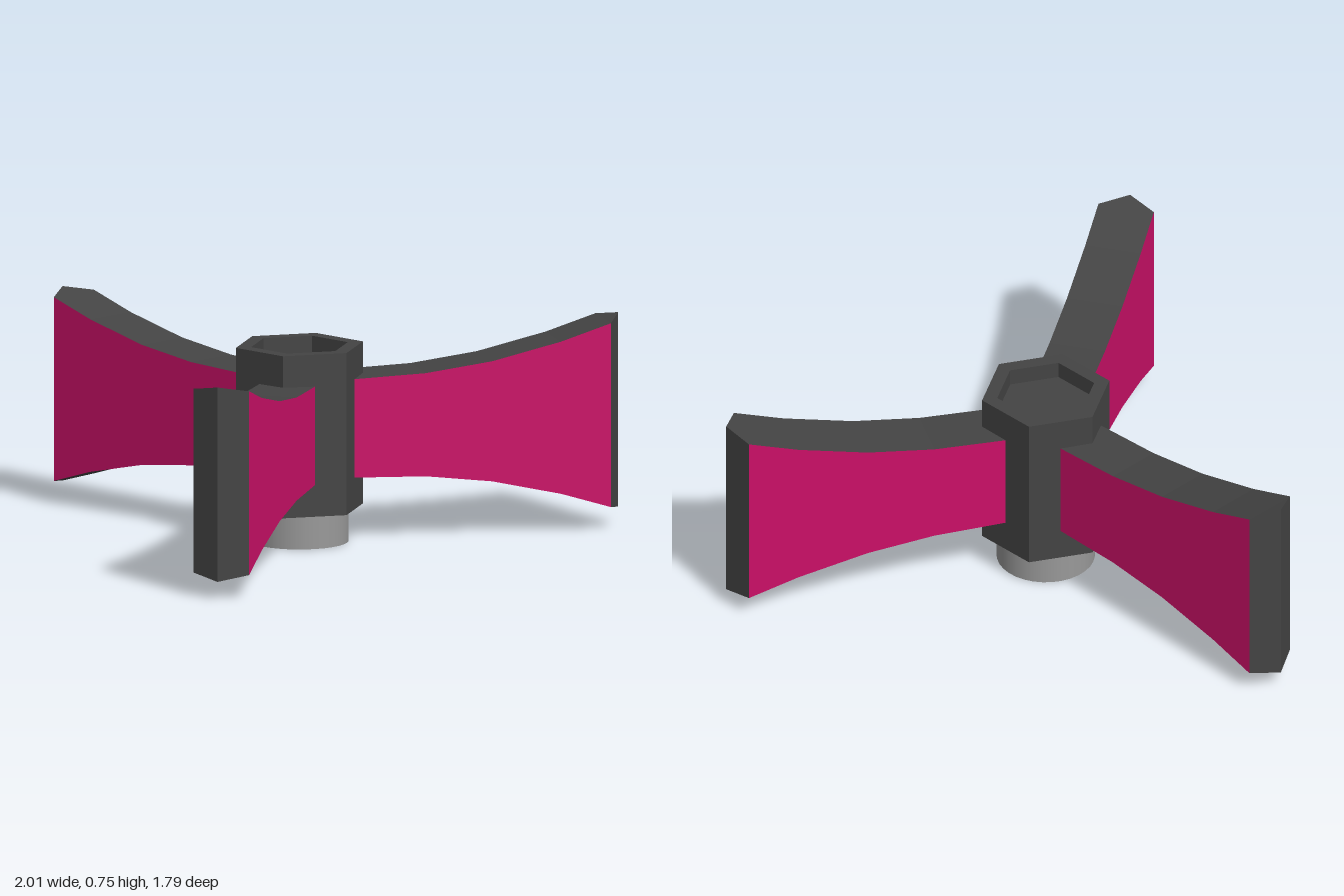
import * as THREE from 'three';

const dark = new THREE.MeshStandardMaterial({ color: 0x444444, flatShading: true });
const pink = new THREE.MeshStandardMaterial({ color: 0xcc1068, flatShading: true });
const steel = new THREE.MeshStandardMaterial({ color: 0x999999 });

const HALF_WIDTH = 0.1, END = 1.1, TIP = 1.155, MID = 0.407;

// Half height of a blade at stations along its length
const flare = [[0.1, 0.175], [0.18, 0.175], [0.43, 0.183], [0.67, 0.213], [0.92, 0.27], [END, 0.326]];

function mesh(name, geometry, material) {
  const m = new THREE.Mesh(geometry, material);
  m.name = name;
  return m;
}

// Flared slab with coloured sides and dark edges, running along +z
function bladeBody() {
  const top = flare.map(([d, h]) => new THREE.Vector2(d, MID + h));
  const bottom = flare.map(([d, h]) => new THREE.Vector2(d, MID - h));
  const shape = new THREE.Shape([...bottom, ...top.reverse()]);
  const g = new THREE.ExtrudeGeometry(shape, { depth: 2 * HALF_WIDTH, bevelEnabled: false });
  return g.translate(0, 0, -HALF_WIDTH).rotateY(-Math.PI / 2);
}

// Wedge that closes the outer end, continuing the flare to its point
function bladeTip() {
  const shape = new THREE.Shape([
    new THREE.Vector2(-HALF_WIDTH, END),
    new THREE.Vector2(HALF_WIDTH, END),
    new THREE.Vector2(0, TIP),
  ]);
  const g = new THREE.ExtrudeGeometry(shape, { depth: 1, bevelEnabled: false });
  g.rotateX(Math.PI / 2);
  const p = g.attributes.position;
  for (let i = 0; i < p.count; i++) {
    const h = p.getZ(i) > (END + TIP) / 2 ? 0.345 : 0.326;
    p.setY(i, p.getY(i) > -0.5 ? MID + h : MID - h);
  }
  g.computeVertexNormals();
  return g;
}

export function createModel() {
  const model = new THREE.Group();
  model.name = 'threeBladeKnob';

  // Hexagonal hub with a shallow hexagonal recess on top
  const profile = [[0, 0.12], [0.23, 0.12], [0.23, 0.695], [0.175, 0.695], [0.175, 0.635], [0, 0.635]]
    .map(([r, y]) => new THREE.Vector2(r, y));
  model.add(mesh('hub', new THREE.LatheGeometry(profile, 6), dark));

  // Round peg under the hub
  const peg = mesh('peg', new THREE.CylinderGeometry(0.172, 0.172, 0.13, 32), steel);
  peg.position.y = 0.065;
  model.add(peg);

  // Three equal blades around the hub
  const body = bladeBody(), tip = bladeTip();
  for (let i = 0; i < 3; i++) {
    const blade = new THREE.Group();
    blade.name = `blade${i + 1}`;
    blade.add(mesh('bladeBody', body, [pink, dark]), mesh('bladeTip', tip, dark));
    blade.rotation.y = (i * 2 * Math.PI) / 3;
    model.add(blade);
  }

  // Centre the whole footprint
  model.children.forEach((c) => { c.position.z = -0.26; });
  return model;
}
